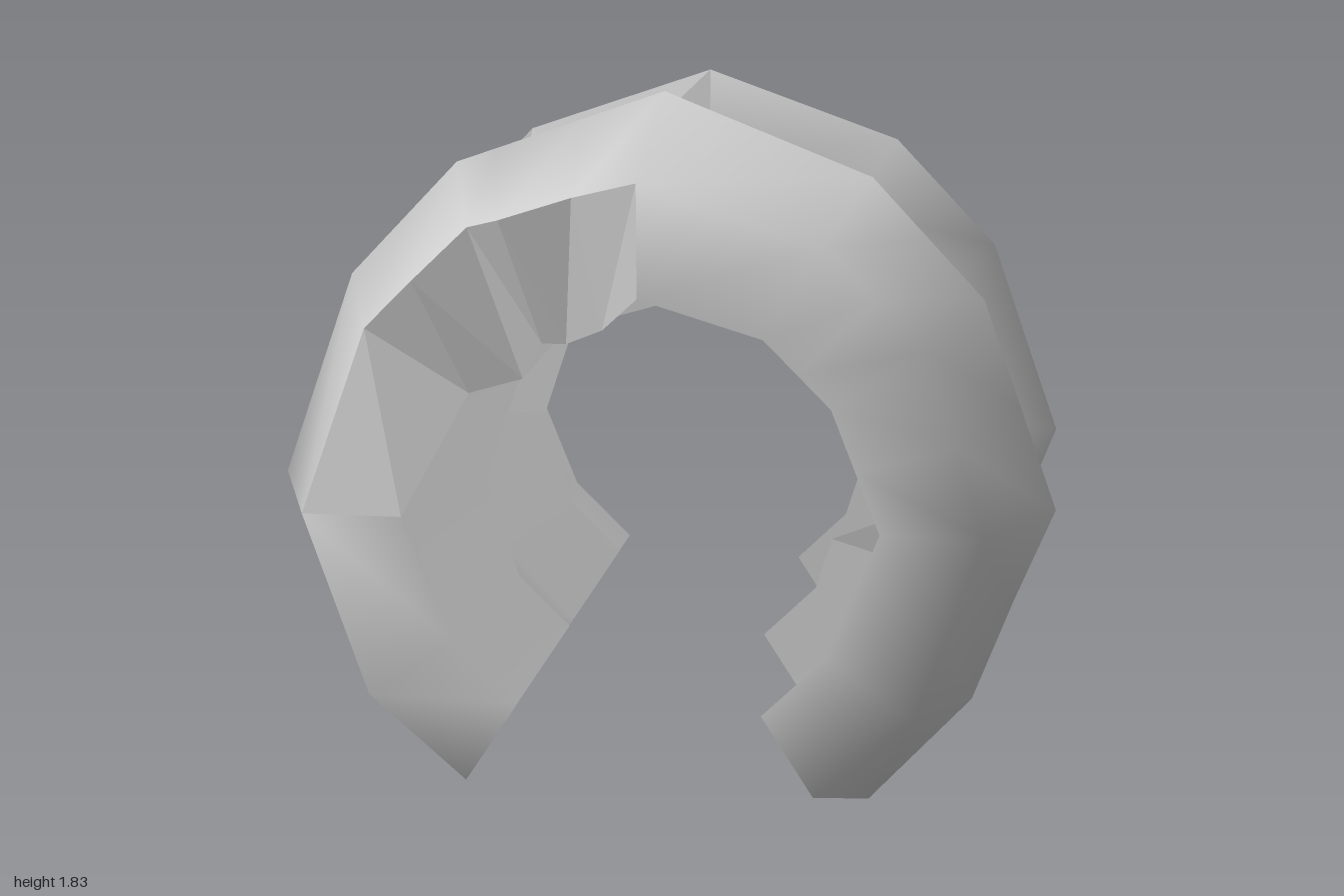
import * as THREE from 'three';

const CENTRE_Y = 0.82;
// Angles of the main facets, counter-clockwise from +x, and the radius of each profile line there
const ANGLES = [-57, -34, 0, 33, 57, 90, 123, 147, 180, 214, 237];
const mirrored = (half) => [...half, ...half.slice(0, 5).reverse()];
const RADII = {
  D: mirrored([0.47, 0.47, 0.47, 0.46, 0.47, 0.47]), // inner rim, wheel side
  M: mirrored([0.72, 0.71, 0.73, 0.71, 0.72, 0.74]), // middle of the side wall
  A: mirrored([0.98, 0.96, 1.0, 0.97, 0.98, 1.01]), // outer rim
  B: mirrored([0.8, 0.82, 0.84, 0.83, 0.83, 0.84]), // shoulder
  C: mirrored([0.56, 0.56, 0.59, 0.56, 0.56, 0.56]), // inner lip of the face
};
const DEPTH = { D: 0.38, M: 0.385, A: 0.395, B: 0.825, C: 0.82 };
const LINES = ['D', 'M', 'A', 'B', 'C'];

// Point on a profile line at facet position u; a dent may set [z, radius]
function pointAt(line, station, rimScale) {
  const i = Math.min(Math.floor(station.u), 9), t = station.u - i;
  const at = (k) => {
    const a = THREE.MathUtils.degToRad(ANGLES[k]), r = RADII[line][k];
    return new THREE.Vector3(r * Math.cos(a), r * Math.sin(a), DEPTH[line]);
  };
  const p = at(i).lerp(at(i + 1), t);
  if (line === 'A') { p.x *= rimScale; p.y *= rimScale; }
  const dent = station[line];
  if (dent) {
    if (dent[1]) {
      const s = dent[1] / Math.hypot(p.x, p.y);
      p.x *= s; p.y *= s;
    }
    p.z = dent[0];
  }
  p.y += CENTRE_Y;
  return p;
}

// Arch shell, open toward the axis; dented sections become flat panels
function makeArch(name, stations, rimScale) {
  const group = new THREE.Group();
  group.name = name;
  const points = [];
  for (const s of stations) for (const l of LINES) points.push(pointAt(l, s, rimScale));
  const smooth = [], flat = [];
  for (let i = 0; i < stations.length - 1; i++) {
    const u = (stations[i].u + stations[i + 1].u) / 2;
    for (let j = 0; j < 4; j++) {
      const a = i * 5 + j, b = a + 5;
      const dented = (j === 3 && u > 5 && u < 8.4) || (j < 2 && u > 1.4 && u < 5);
      (dented ? flat : smooth).push(a, b, b + 1, a, b + 1, a + 1);
    }
  }
  const add = (index, partName, flatShading) => {
    let geometry = new THREE.BufferGeometry().setFromPoints(points);
    geometry.setIndex(index);
    if (flatShading) geometry = geometry.toNonIndexed();
    geometry.computeVertexNormals();
    const material = new THREE.MeshStandardMaterial({ color: 0xcccccc, side: THREE.DoubleSide, flatShading });
    const mesh = new THREE.Mesh(geometry, material);
    mesh.name = partName;
    group.add(mesh);
  };
  add(smooth, 'archShell', false);
  add(flat, 'dentedPanels', true);
  return group;
}

export function createModel() {
  const model = new THREE.Group();
  model.name = 'archPair';

  const frontArch = makeArch('frontArch', [
    { u: 0 }, { u: 1 }, { u: 1.5 },
    // dents in the inner side wall
    { u: 2, A: [0.51], M: [0.43], D: [0.41, 0.57] },
    { u: 2.5, A: [0.52], M: [0.35, 0.7], D: [0.38, 0.53] },
    { u: 3, A: [0.53], M: [0.43] },
    { u: 3.5, A: [0.52], M: [0.365, 0.68] },
    { u: 4, A: [0.51], M: [0.42] },
    { u: 5 },
    // dents in the outer face
    { u: 5.4, B: [0.7], C: [0.7, 0.47] },
    { u: 5.8, B: [0.71], C: [0.65, 0.46] },
    { u: 6, B: [0.65], C: [0.65, 0.49] },
    { u: 6.5, B: [0.735], C: [0.64, 0.45] },
    { u: 7, B: [0.73], C: [0.69, 0.53] },
    { u: 8 }, { u: 9 }, { u: 10 },
  ], 1);

  const backArch = makeArch('backArch', [
    { u: 0 }, { u: 1 }, { u: 2 }, { u: 3 },
    { u: 4, A: [0.48], M: [0.41] },
    { u: 5 },
    { u: 6, B: [0.715], C: [0.68, 0.5] },
    { u: 7, B: [0.82], C: [0.74, 0.52] },
    { u: 8, B: [0.69], C: [0.69] },
    { u: 8.4 }, { u: 9 }, { u: 10 },
  ], 0.97);
  backArch.rotation.y = Math.PI;

  model.add(frontArch, backArch);
  return model;
}
